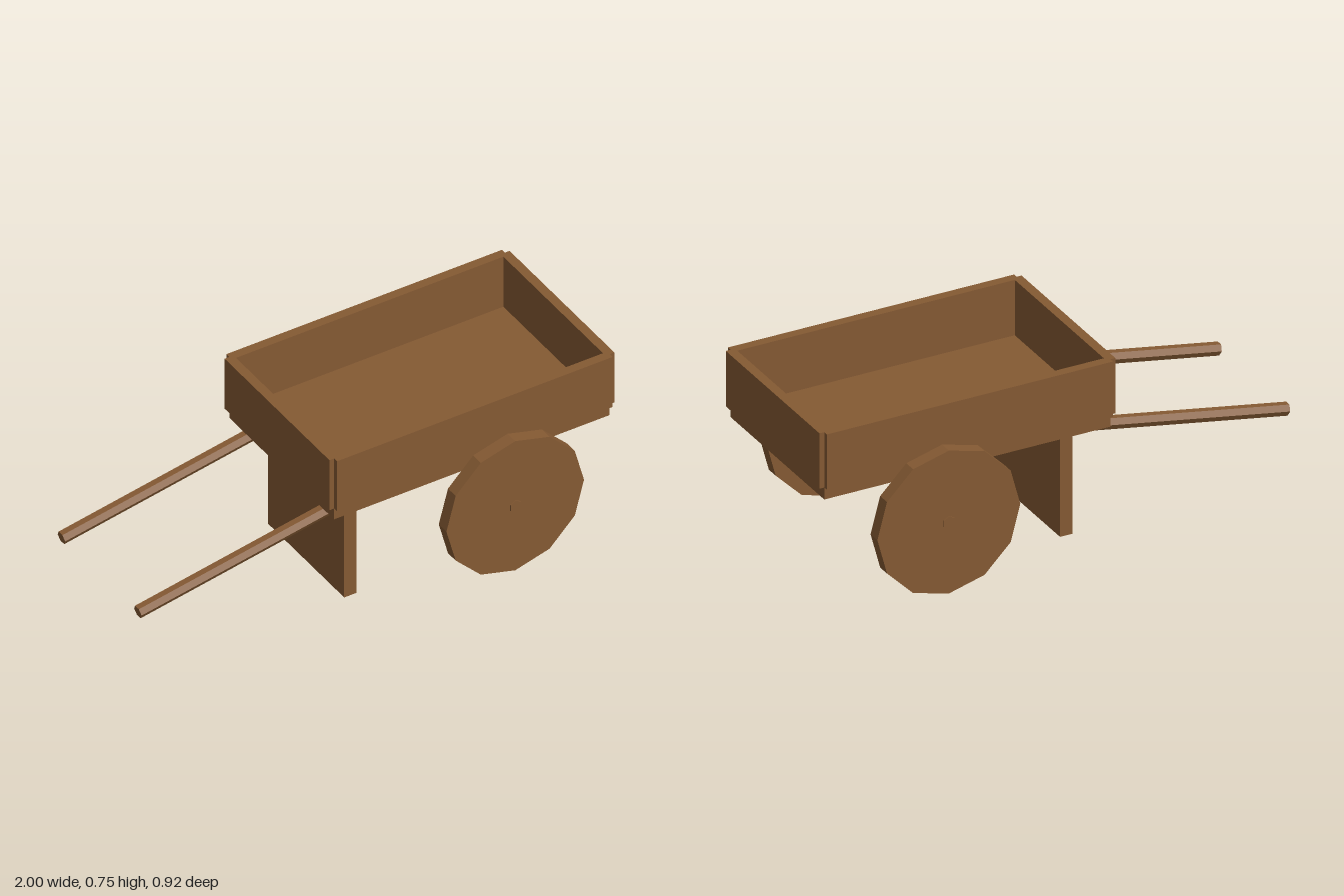
import * as THREE from 'three';

export function createModel() {
  const cart = new THREE.Group();
  cart.name = 'handcart';
  const wood = new THREE.MeshStandardMaterial({ color: 0x855a33, flatShading: true });

  function add(name, geometry, x, y, z) {
    const mesh = new THREE.Mesh(geometry, wood);
    mesh.name = name;
    mesh.position.set(x, y, z);
    cart.add(mesh);
    return mesh;
  }
  const box = (name, w, h, d, x, y, z) => add(name, new THREE.BoxGeometry(w, h, d), x, y, z);
  const rod = (r, length, sides) => new THREE.CylinderGeometry(r, r, length, sides);

  // Tray: floor slab with four boards standing around its rim
  const trayX = 0.385;
  box('trayFloor', 1.19, 0.05, 0.724, trayX, 0.49, 0.001);
  for (const s of [1, -1]) {
    const side = s > 0 ? 'Front' : 'Back';
    box('longBoard' + side, 1.19, 0.23, 0.038, trayX, 0.63, s * 0.363 + 0.001);
    box(s > 0 ? 'endBoardLeft' : 'endBoardRight', 0.038, 0.23, 0.724, trayX + s * 0.596, 0.63, 0.001);

    // Twelve-sided solid wheels
    add('wheel' + side, rod(0.297, 0.053, 12).rotateX(Math.PI / 2), 0.513, 0.297, s * 0.43 + 0.001);

    // Sloping six-sided handles
    const a = new THREE.Vector2(-0.996, 0.293), b = new THREE.Vector2(-0.153, 0.443);
    const handle = add('handle' + side, rod(0.026, a.distanceTo(b), 6),
      (a.x + b.x) / 2, (a.y + b.y) / 2, s * 0.264 + 0.001);
    handle.rotation.z = Math.atan2(b.y - a.y, b.x - a.x) - Math.PI / 2;
  }

  // Axle through both wheels, and the board that props the cart
  add('axle', rod(0.026, 0.924, 6).rotateX(Math.PI / 2), 0.513, 0.297, 0.001);
  box('standBoard', 0.052, 0.465, 0.528, -0.079, 0.2325, 0.001);

  return cart;
}
